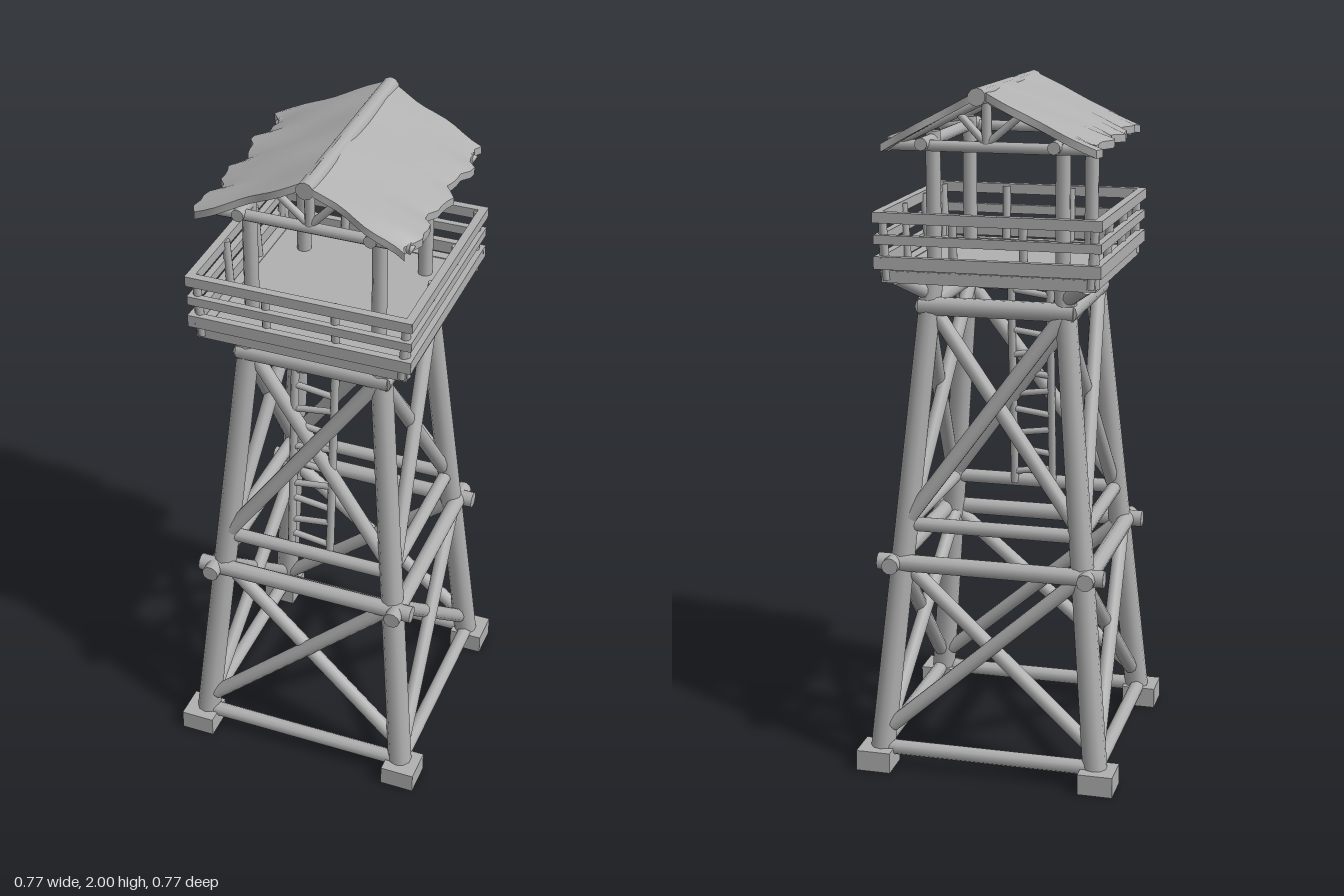
import * as THREE from 'three';

export function createModel() {
  const model = new THREE.Group();
  model.name = 'watchtower';
  const wood = new THREE.MeshStandardMaterial({ color: 0xb0b0b0 });
  wood.name = 'grey timber';
  const V = (x, y, z) => new THREE.Vector3(x, y, z);

  const add = (parent, name, geometry) => {
    const mesh = new THREE.Mesh(geometry, wood);
    mesh.name = name;
    parent.add(mesh);
    return mesh;
  };
  // Round log between two points
  const log = (parent, name, a, b, r0, r1 = r0) => {
    const mesh = add(parent, name, new THREE.CylinderGeometry(r1, r0, a.distanceTo(b), 10));
    mesh.position.copy(a).add(b).multiplyScalar(0.5);
    mesh.quaternion.setFromUnitVectors(V(0, 1, 0), b.clone().sub(a).normalize());
    return mesh;
  };
  const box = (parent, name, w, h, d, x, y, z) => {
    const mesh = add(parent, name, new THREE.BoxGeometry(w, h, d));
    mesh.position.set(x, y, z);
    return mesh;
  };
  // Distance of a leg axis from the tower axis at height y
  const lean = (y) => 0.326 - 0.093 * y;

  // Legs, feet and brackets under the platform
  for (const sx of [-1, 1]) for (const sz of [-1, 1]) {
    log(model, 'leg', V(sx * lean(0.02), 0.02, sz * lean(0.02)),
      V(sx * lean(1.46), 1.46, sz * lean(1.46)), 0.036, 0.031);
    const foot = add(model, 'foot', new THREE.BoxGeometry(0.102, 0.062, 0.102));
    foot.position.set(sx * 0.333, 0.031, sz * 0.333);
    log(model, 'bracket', V(sx * 0.19, 1.4, sz * 0.19), V(sx * 0.27, 1.46, sz * 0.27), 0.022);
  }

  // Four identical faces of beams and crossed braces
  for (let i = 0; i < 4; i++) {
    const side = new THREE.Group();
    side.name = 'towerSide';
    side.rotation.y = i * Math.PI / 2;
    model.add(side);
    const beam = (name, y, half, z, r) => log(side, name, V(-half, y, z), V(half, y, z), r);
    beam('bottomBeam', 0.06, 0.31, 0.325, 0.022);
    beam('middleBeam', 0.625, 0.335, 0.288, 0.025);
    beam('upperBeam', 0.735, 0.25, 0.255, 0.021);
    beam('topBeam', 1.372, 0.225, 0.208, 0.027);
    for (const s of [-1, 1]) {
      const off = s * 0.009;
      log(side, 'lowerBrace', V(-s * 0.29, 0.13, lean(0.13) + off), V(s * 0.255, 0.61, lean(0.61) + off), 0.022);
      log(side, 'upperBrace', V(-s * 0.245, 0.76, lean(0.76) + off), V(s * 0.19, 1.36, lean(1.36) + off), 0.022);
    }
  }

  // Ladder just inside the front face
  const ladder = new THREE.Group();
  ladder.name = 'ladder';
  model.add(ladder);
  for (const s of [-1, 1]) log(ladder, 'ladderRail', V(s * 0.06, 0.73, 0.24), V(s * 0.06, 1.38, 0.19), 0.012);
  for (let i = 0; i < 10; i++) {
    const y = 0.775 + i * 0.063;
    const z = 0.24 - (y - 0.73) * 0.077;
    const tilt = i % 2 ? 0.008 : -0.008;
    log(ladder, 'rung', V(-0.06, y - tilt, z), V(0.06, y + tilt, z), 0.01);
  }

  // Platform with a railing that leans slightly outwards
  box(model, 'platform', 0.6, 0.03, 0.61, 0, 1.47, -0.004);
  for (let i = 0; i < 4; i++) {
    const side = new THREE.Group();
    side.name = 'railingSide';
    side.rotation.y = i * Math.PI / 2;
    side.position.z = -0.003;
    model.add(side);
    box(side, 'platformEdge', 0.61, 0.035, 0.03, 0, 1.47, 0.29);
    box(side, 'lowRail', 0.645, 0.036, 0.022, 0, 1.51, 0.311);
    box(side, 'middleRail', 0.64, 0.026, 0.02, 0, 1.575, 0.312);
    box(side, 'handRail', 0.645, 0.03, 0.024, 0, 1.637, 0.313);
    for (const x of [-0.3, -0.1, 0.1, 0.3])
      log(side, 'railPost', V(x, 1.46, 0.29), V(x, 1.645, 0.302), 0.012);
  }

  // Roof posts, eave beams and gable trusses
  for (const sx of [-1, 1]) {
    for (const sz of [-1, 1]) log(model, 'roofPost', V(sx * 0.186, 1.47, sz * 0.19), V(sx * 0.186, 1.865, sz * 0.19), 0.021);
    log(model, 'eaveBeam', V(sx * 0.186, 1.84, -0.31), V(sx * 0.186, 1.84, 0.27), 0.018);
  }
  for (const z of [-0.27, 0.245]) {
    log(model, 'tieBeam', V(-0.29, 1.833, z), V(0.29, 1.833, z), 0.016);
    log(model, 'kingPost', V(0.01, 1.83, z), V(0.01, 1.97, z), 0.014);
    for (const s of [-1, 1]) {
      log(model, 'rafter', V(s * 0.295, 1.825, z), V(0.01, 1.965, z), 0.014);
      log(model, 'strut', V(0.01, 1.84, z), V(s * 0.09, 1.925, z), 0.011);
    }
  }

  // Worn roof sheets with wavy edges
  for (const s of [-1, 1]) {
    const sheet = new THREE.BoxGeometry(1, 0.022, 1, 10, 1, 24);
    const p = sheet.attributes.position;
    for (let i = 0; i < p.count; i++) {
      const u = p.getX(i) * s + 0.5; // 0 at the ridge, 1 at the eave
      const v = p.getZ(i);
      const wave = 0.014 * Math.sin(v * 21 + s) + 0.008 * Math.sin(v * 47 + 2 * s);
      const x = 0.015 + u * (s * 0.298 - 0.015 + s * wave * u ** 4);
      const ripple = 0.004 * Math.sin(u * 5 + s) * Math.sin(v * 13) - 0.006 * Math.max(0, Math.abs(v) - 0.4) * 10 * u;
      const y = 1.982 - 0.147 * u + ripple + p.getY(i);
      const z = -0.018 + v * (0.625 + 0.012 * Math.sin(u * 11 + s));
      p.setXYZ(i, x, y, z);
    }
    sheet.computeVertexNormals();
    add(model, 'roofSheet', sheet);
  }
  log(model, 'ridgeCap', V(0.02, 1.974, -0.338), V(0.018, 1.97, 0.3), 0.025);

  return model;
}
